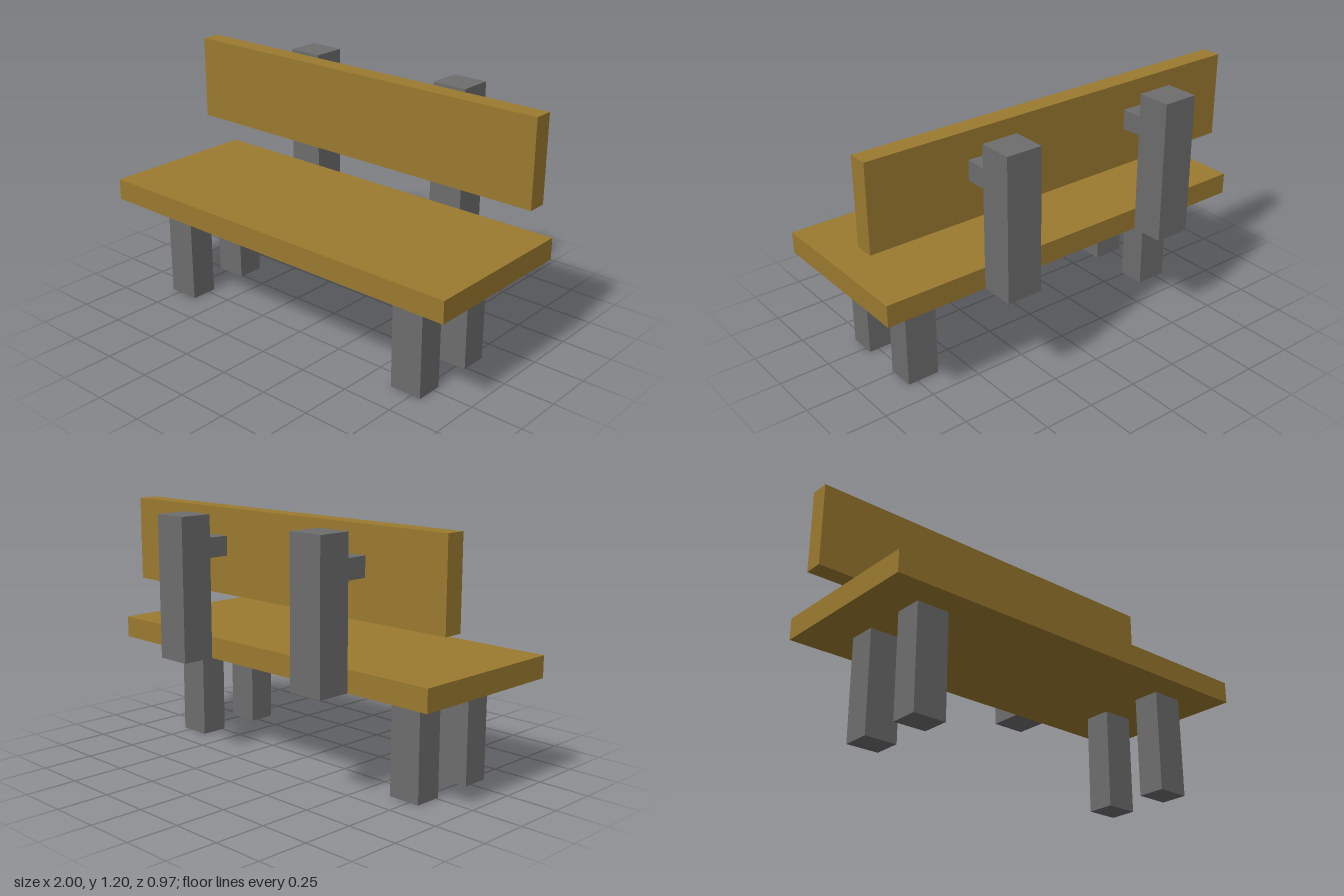
import * as THREE from 'three';

export function createModel() {
  const bench = new THREE.Group();
  bench.name = 'bench';
  const wood = new THREE.MeshStandardMaterial({ color: 0x9b7a2f });
  const metal = new THREE.MeshStandardMaterial({ color: 0x6d6d6d });

  // Box given by its extents along each axis
  function addBox(name, material, [x0, x1], [y0, y1], [z0, z1]) {
    const mesh = new THREE.Mesh(new THREE.BoxGeometry(x1 - x0, y1 - y0, z1 - z0), material);
    mesh.position.set((x0 + x1) / 2, (y0 + y1) / 2, (z0 + z1) / 2);
    mesh.name = name;
    bench.add(mesh);
  }

  // Planks
  addBox('seat', wood, [-1, 1], [0.492, 0.597], [-0.32, 0.485]);
  addBox('backrest', wood, [-1, 1], [0.788, 1.203], [-0.217, -0.122]);

  // Two pairs of legs
  for (const [side, x] of [['right', [-0.8, -0.64]], ['left', [0.637, 0.797]]]) {
    addBox(side + 'FrontLeg', metal, x, [0, 0.492], [0.212, 0.347]);
    addBox(side + 'RearLeg', metal, x, [0, 0.492], [-0.122, 0.014]);
  }

  // Posts behind the seat, each with a short arm holding the backrest
  for (const [side, x] of [['right', [-0.564, -0.386]], ['left', [0.325, 0.502]]]) {
    addBox(side + 'BackPost', metal, x, [0.492, 1.18], [-0.485, -0.32]);
    addBox(side + 'BackArm', metal, x, [0.975, 1.07], [-0.32, -0.217]);
  }

  return bench;
}
